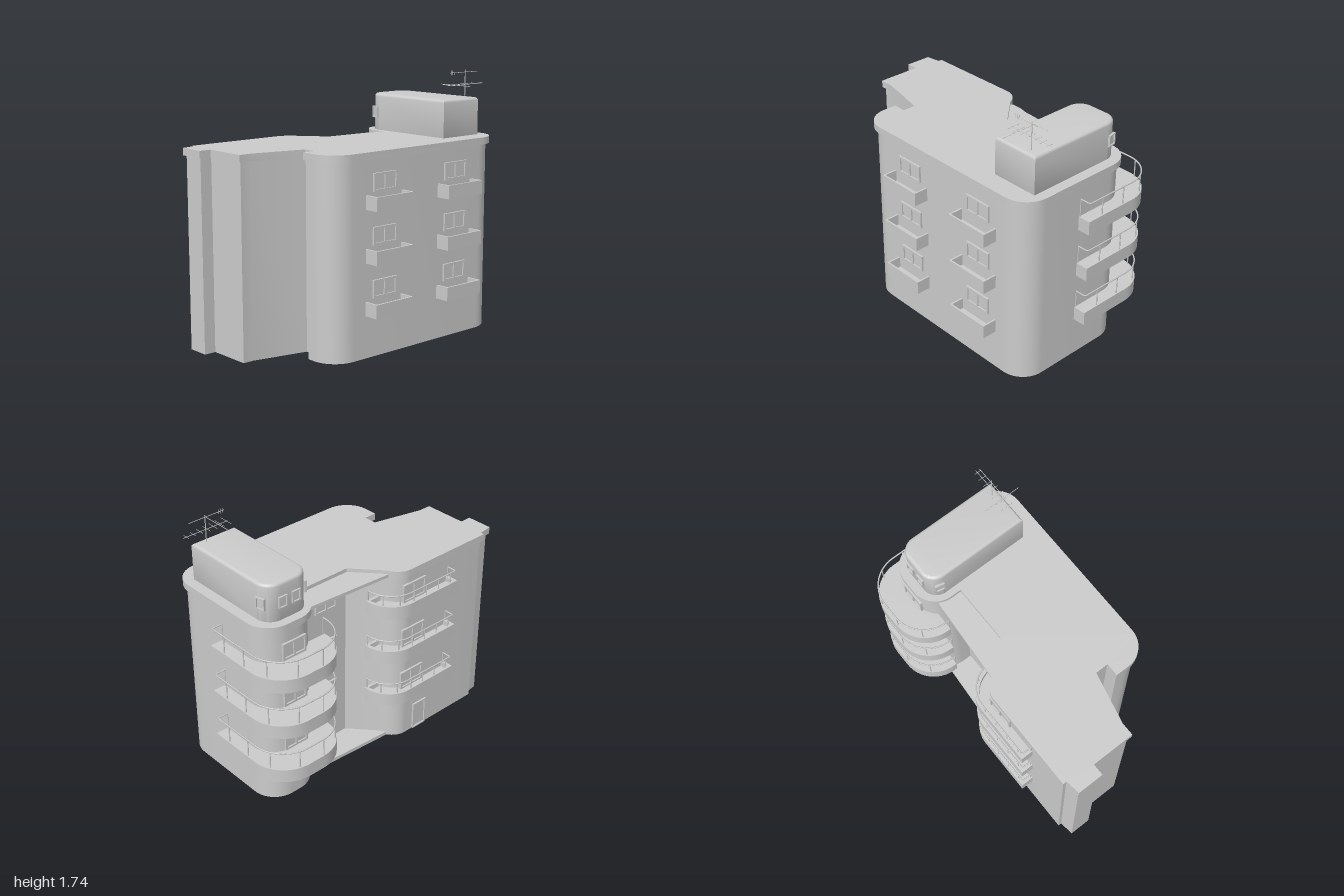
import * as THREE from 'three';
import { toCreasedNormals } from 'three/addons/utils/BufferGeometryUtils.js';

const grey = new THREE.MeshStandardMaterial({ color: 0xcccccc, side: THREE.DoubleSide });
const FLOOR = 0.337; // storey height

function mesh(parent, name, geo, x = 0, y = 0, z = 0) {
  const m = new THREE.Mesh(geo, grey);
  m.name = name;
  m.position.set(x, y, z);
  parent.add(m);
  return m;
}
const box = (parent, name, w, h, d, x, y, z) => mesh(parent, name, new THREE.BoxGeometry(w, h, d), x, y, z);

// Moves every edge of a plan [x, z, radius] inwards by d
function inset(plan, d) {
  const n = plan.length;
  let area = 0;
  plan.forEach(([x, z], i) => { const [u, v] = plan[(i + 1) % n]; area += x * v - u * z; });
  const s = Math.sign(area);
  const normal = (a, b) => new THREE.Vector2(-(b[1] - a[1]) * s, (b[0] - a[0]) * s).normalize();
  return plan.map((p, i) => {
    const n1 = normal(plan[(i + n - 1) % n], p), n2 = normal(p, plan[(i + 1) % n]);
    const k = d / (1 + n1.dot(n2));
    return [p[0] + (n1.x + n2.x) * k, p[1] + (n1.y + n2.y) * k, p[2]];
  });
}

// Draws a plan with rounded corners, closed or open
function trace(path, plan, closed = true) {
  const n = plan.length, v = plan.map(([x, z]) => new THREE.Vector2(x, -z));
  plan.forEach((p, i) => {
    const r = p[2] || 0, c = v[i];
    const a = c.clone(), b = c.clone();
    if (r) {
      a.add(v[(i + n - 1) % n].clone().sub(c).setLength(r));
      b.add(v[(i + 1) % n].clone().sub(c).setLength(r));
    }
    if (i === 0) path.moveTo(a.x, a.y); else path.lineTo(a.x, a.y);
    if (r) {
      const ca = a.clone().lerp(c, 0.552), cb = b.clone().lerp(c, 0.552);
      path.bezierCurveTo(ca.x, ca.y, cb.x, cb.y, b.x, b.y);
    }
  });
  if (closed) path.closePath();
  return path;
}

// Upright prism over a plan, optionally hollow or with a bevelled rim
function prism(plan, y0, y1, hole, bevel = 0) {
  const shape = trace(new THREE.Shape(), plan);
  if (hole) shape.holes.push(trace(new THREE.Path(), hole));
  const g = new THREE.ExtrudeGeometry(shape, {
    depth: y1 - y0 - bevel, curveSegments: 16, bevelEnabled: bevel > 0,
    bevelSize: bevel, bevelThickness: bevel, bevelOffset: -bevel, bevelSegments: 4,
  });
  g.rotateX(-Math.PI / 2).translate(0, y0, 0);
  return toCreasedNormals(g, 0.6);
}

const rect = (P, x0, y0, x1, y1) => new P().moveTo(x0, y0).lineTo(x1, y0).lineTo(x1, y1).lineTo(x0, y1).closePath();

// Framed window with side-by-side panes, facing +z before rotation
function addWindow(parent, name, x, y, z, rot, w, h, panes = 2, frame = 0.014) {
  const g = new THREE.Group();
  g.name = name;
  const s = rect(THREE.Shape, -w / 2, -h / 2, w / 2, h / 2);
  const pw = (w - frame * (panes + 1)) / panes;
  for (let i = 0; i < panes; i++) {
    const l = -w / 2 + frame + i * (pw + frame);
    s.holes.push(rect(THREE.Path, l, -h / 2 + frame, l + pw, h / 2 - frame));
  }
  mesh(g, 'windowFrame', new THREE.ExtrudeGeometry(s, { depth: 0.016, bevelEnabled: false }), 0, 0, -0.004);
  box(g, 'windowPane', w - 0.004, h - 0.004, 0.006, 0, 0, 0);
  g.position.set(x, y, z);
  g.rotation.y = rot;
  parent.add(g);
}

const rod = (parent, name, len, r, x, y, z, axis) => {
  const m = mesh(parent, name, new THREE.CylinderGeometry(r, r, len, 6), x, y, z);
  if (axis === 'x') m.rotation.z = Math.PI / 2;
  if (axis === 'z') m.rotation.x = Math.PI / 2;
};

// Curved balcony: floor, parapet, handrail and posts
function addBalcony(parent, name, plan, rail, y, railTop, spans) {
  const g = new THREE.Group();
  g.name = name;
  mesh(g, 'balconyFloor', prism(inset(plan, 0.005), y, y + 0.06));
  mesh(g, 'balconyParapet', prism(plan, y + 0.001, y + 0.095, inset(plan, 0.02)));
  const path = trace(new THREE.Path(), rail, false);
  const pts = path.getSpacedPoints(60).map(p => new THREE.Vector3(p.x, railTop, -p.y));
  mesh(g, 'handrail', new THREE.TubeGeometry(new THREE.CatmullRomCurve3(pts), 90, 0.005, 6));
  path.getSpacedPoints(spans).forEach(p =>
    rod(g, 'railPost', railTop - y - 0.05, 0.004, p.x, (railTop + y + 0.05) / 2, -p.y));
  parent.add(g);
}

export function createModel() {
  const model = new THREE.Group();
  model.name = 'apartmentBlock';

  // Roof plan; the walls follow it slightly inset
  const plan = [
    [-0.57, 0.505, 0.17], [0.925, 0.505, 0.17], [0.925, -0.41, 0.17], [0.48, -0.41, 0.17],
    [0.48, -0.17], [0.07, -0.17], [-0.1, -0.36], [-0.13, -0.45, 0.09], [-0.9, -0.45],
    [-0.9, -0.425], [-1, -0.41], [-1, -0.23], [-0.92, -0.23], [-0.92, 0.07],
    [-0.83, 0.07], [-0.48, 0.15], [-0.48, 0.24], [-0.57, 0.24],
  ];
  mesh(model, 'walls', prism(inset(plan, 0.017), 0, 1.27));
  mesh(model, 'roofSlab', prism(plan, 1.258, 1.305));

  // Eave and ground step across the rear recess
  const recess = [[-0.12, -0.37], [0.5, -0.33], [0.52, -0.13], [0.02, -0.13]];
  mesh(model, 'recessEave', prism(recess, 1.258, 1.28));
  mesh(model, 'recessStep', prism(recess, 0, 0.025));

  // Roof house with its small windows
  mesh(model, 'roofHouse', prism(
    [[0.525, 0.367], [0.855, 0.367], [0.855, -0.35, 0.1], [0.525, -0.35, 0.1]], 1.29, 1.556, null, 0.02));
  for (const s of [-1, 1]) {
    addWindow(model, 'roofHouseSideWindow', 0.69 + s * 0.16, 1.428, -0.285, s * (Math.PI / 2 + 0.2), 0.065, 0.078, 1, 0.008);
    addWindow(model, 'roofHouseBackWindow', 0.69 + s * 0.05, 1.428, -0.35, Math.PI, 0.065, 0.078, 1, 0.008);
  }

  // Aerial
  const aerial = new THREE.Group();
  aerial.name = 'aerial';
  rod(aerial, 'mast', 0.2, 0.003, 0.775, 1.64, 0.32);
  rod(aerial, 'upperBoom', 0.265, 0.002, 0.763, 1.725, 0.32, 'x');
  rod(aerial, 'lowerBoom', 0.33, 0.002, 0.775, 1.642, 0.32, 'x');
  rod(aerial, 'longElement', 0.26, 0.002, 0.68, 1.642, 0.325, 'z');
  for (let i = 0; i < 7; i++) {
    rod(aerial, 'lowerElement', 0.11 - i * 0.01, 0.0015, 0.62 + i * 0.05, 1.645, 0.32, 'z');
    if (i < 3) rod(aerial, 'upperElement', 0.03, 0.0015, 0.64 + i * 0.015, 1.725, 0.32);
  }
  model.add(aerial);

  // Balcony plans and rail lines
  const towerPlan = [[0.4, -0.33], [0.4, -0.59, 0.24], [0.995, -0.59, 0.24], [0.995, 0.035], [0.85, 0.035], [0.85, -0.33]];
  const towerRail = [[0.41, -0.33], [0.41, -0.58, 0.23], [0.985, -0.58, 0.23], [0.985, 0.025], [0.91, 0.025]];
  const wingPlan = [[-0.585, -0.518], [0.025, -0.518, 0.2], [0.025, -0.3], [-0.1, -0.3], [-0.2, -0.36], [-0.585, -0.36]];
  const wingRail = [[-0.575, -0.44], [-0.575, -0.506], [0.013, -0.506, 0.19], [0.013, -0.31]];

  for (let f = 0; f < 3; f++) {
    const y = f * FLOOR;
    addBalcony(model, 'towerBalcony', towerPlan, towerRail, y + 0.273, y + 0.488, 7);
    addBalcony(model, 'wingBalcony', wingPlan, wingRail, y + 0.338, y + 0.505, 7);

    // Front windows, each above a box balcony
    for (const cx of [-0.122, 0.508]) {
      addWindow(model, 'frontWindow', cx, y + 0.438, 0.489, 0, 0.2, 0.116);
      const g = new THREE.Group();
      g.name = 'frontBalcony';
      box(g, 'boxFloor', 0.315, 0.015, 0.1, 0, 0.0075, 0.05);
      box(g, 'boxFront', 0.315, 0.09, 0.012, 0, 0.045, 0.094);
      for (const s of [-1, 1]) box(g, 'boxSide', 0.012, 0.09, 0.1, s * 0.1515, 0.045, 0.05);
      g.position.set(cx, y + 0.275, 0.488);
      model.add(g);
    }

    // Rear windows
    addWindow(model, 'recessWindow', 0.235, y + 0.438, -0.154, Math.PI, 0.18, 0.116);
    addWindow(model, 'towerWindow', 0.7, y + 0.438, -0.394, Math.PI, 0.18, 0.116);
    addWindow(model, 'wingWindow', -0.27, y + 0.46, -0.434, Math.PI, 0.2, 0.13);
  }

  // Rear entrance
  addWindow(model, 'entranceDoor', -0.36, 0.105, -0.434, Math.PI, 0.12, 0.2, 1, 0.01);
  return model;
}
